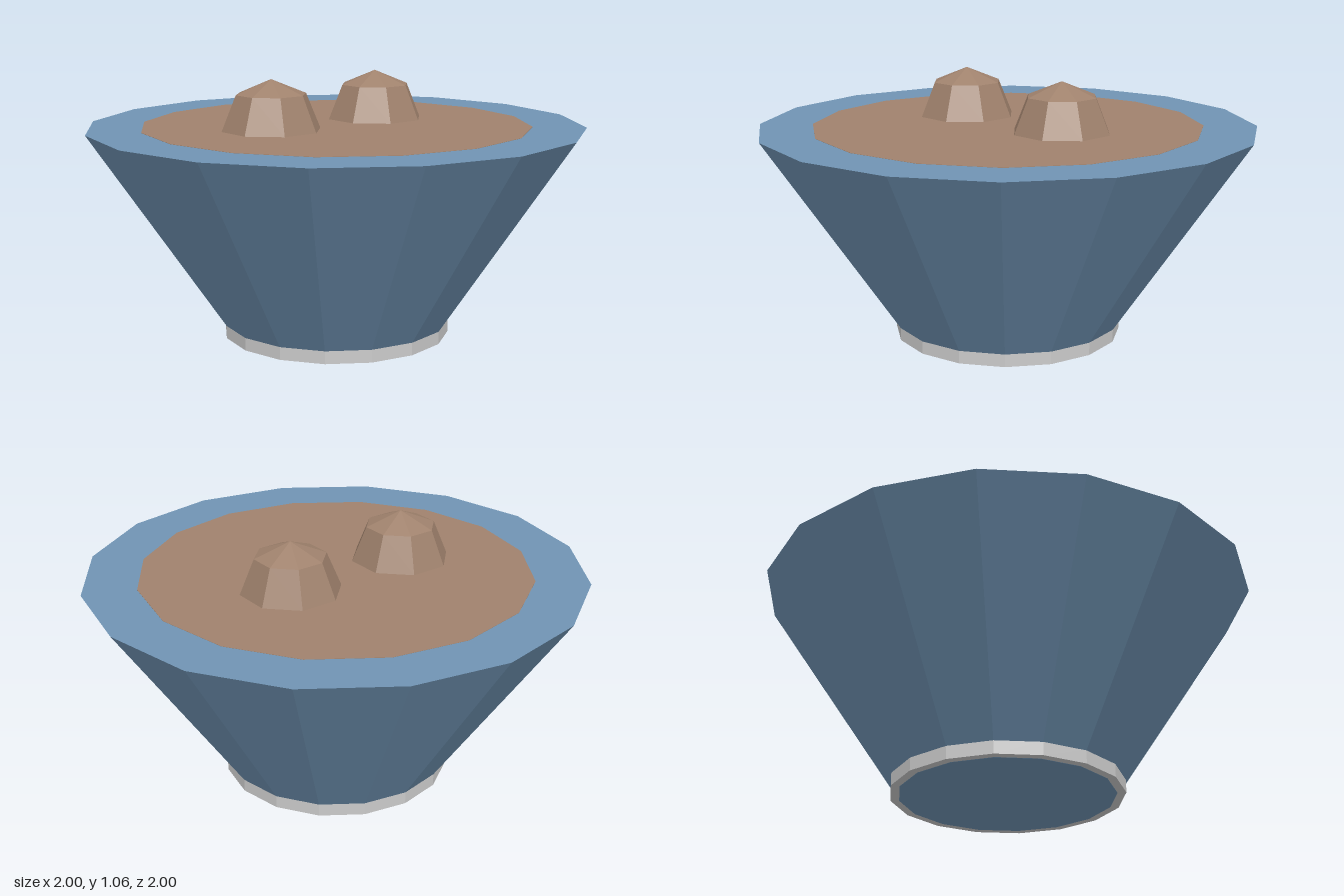
import * as THREE from 'three';

const paint = (color) => new THREE.MeshStandardMaterial({ color, flatShading: true });
const SIDES = 16;
const RIM_Y = 0.857;

export function createModel() {
  const model = new THREE.Group();
  const blue = paint(0x7094b4);
  const brown = paint(0xa0826d);
  const grey = paint(0xcccccc);

  const add = (name, geometry, material, x, y, z) => {
    const mesh = new THREE.Mesh(geometry, material);
    mesh.name = name;
    mesh.position.set(x, y, z);
    model.add(mesh);
  };

  // Flared, faceted bowl
  add('bowl', new THREE.CylinderGeometry(1, 0.429, RIM_Y, SIDES), blue, 0, RIM_Y / 2, 0);

  // Short foot around the base, its underside just above the bowl's
  add('foot', new THREE.CylinderGeometry(0.464, 0.464, 0.056, SIDES), grey, 0, 0.029, 0);

  // Thin layer of food, level with the rim
  add('filling', new THREE.CylinderGeometry(0.786, 0.786, 0.02, SIDES), brown, 0, RIM_Y - 0.009, 0);

  // Two chunks: low-poly half spheres resting in the filling
  const dome = new THREE.SphereGeometry(0.2, 8, 2, 0, Math.PI * 2, 0, Math.PI / 2);
  add('chunkRight', dome, brown, -0.286, RIM_Y, 0.071);
  add('chunkLeft', dome, brown, 0.214, RIM_Y, -0.143);

  return model;
}
